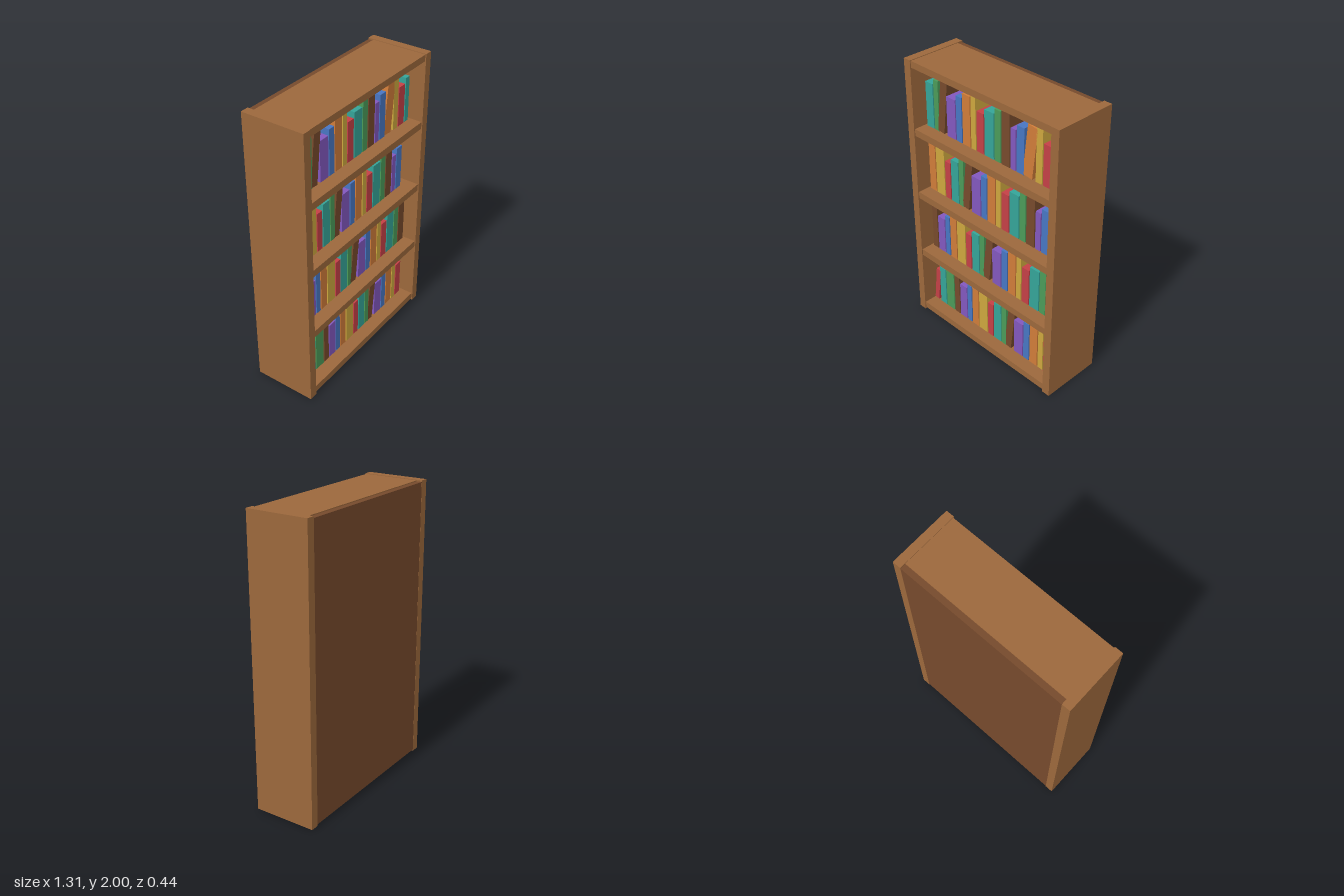
import * as THREE from 'three';

const material = (name, color) => Object.assign(new THREE.MeshStandardMaterial({ color }), { name });

export function createModel() {
  const model = new THREE.Group();
  model.name = 'bookcase';
  const wood = material('wood', 0x9c683c);
  const darkWood = material('darkWood', 0x764a2c);

  // Box given by its limits on each axis
  const addBox = (parent, name, mat, [x0, x1], [y0, y1], [z0, z1]) => {
    const mesh = new THREE.Mesh(new THREE.BoxGeometry(x1 - x0, y1 - y0, z1 - z0), mat);
    mesh.position.set((x0 + x1) / 2, (y0 + y1) / 2, (z0 + z1) / 2);
    mesh.name = name;
    parent.add(mesh);
    return mesh;
  };

  // Case: two sides, back panel, top board
  addBox(model, 'leftSide', wood, [0.597, 0.655], [0, 2], [-0.22, 0.22]);
  addBox(model, 'rightSide', wood, [-0.655, -0.597], [0, 2], [-0.22, 0.22]);
  addBox(model, 'backPanel', darkWood, [-0.597, 0.597], [0.01, 1.99], [-0.219, -0.18]);
  addBox(model, 'topBoard', wood, [-0.597, 0.597], [1.95, 1.996], [-0.18, 0.213]);

  // Book colours repeat in this order, each with its own height
  const bookKinds = [
    [material('red', 0xc44046), 0.28],
    [material('teal', 0x35a498), 0.317],
    [material('green', 0x4b9b59), 0.353],
    [darkWood, 0.39],
    [material('purple', 0x8258be), 0.28],
    [material('blue', 0x4876c2), 0.317],
    [material('orange', 0xd07c39), 0.353],
    [material('yellow', 0xcda73e), 0.39],
  ];
  const widths = [0.042, 0.061, 0.08, 0.05, 0.068];
  const gap = 0.0088;
  const lean = 0.11;

  // Shelves with a row of books on each
  [0.062, 0.547, 1.032, 1.517].forEach((shelfTop, row) => {
    addBox(model, 'shelf', wood, [-0.597, 0.597], [shelfTop - 0.05, shelfTop], [-0.18, 0.213]);

    const books = new THREE.Group();
    books.name = 'bookRow';
    model.add(books);
    let x = -0.58;
    for (let k = row * 3; ; k++) {
      const width = widths[k % 5];
      if (x + width > 0.585) break;
      const [mat, height] = bookKinds[k % 8];
      const book = addBox(books, 'book', mat, [x, x + width],
        [shelfTop, shelfTop + height], [-0.15, 0.12]);
      // Every eleventh book leans toward the left side
      if (k % 11 === 0) {
        book.rotation.z = -lean;
        book.position.y = shelfTop + (height * Math.cos(lean) + width * Math.sin(lean)) / 2;
      }
      x += width + gap;
    }
  });

  return model;
}
